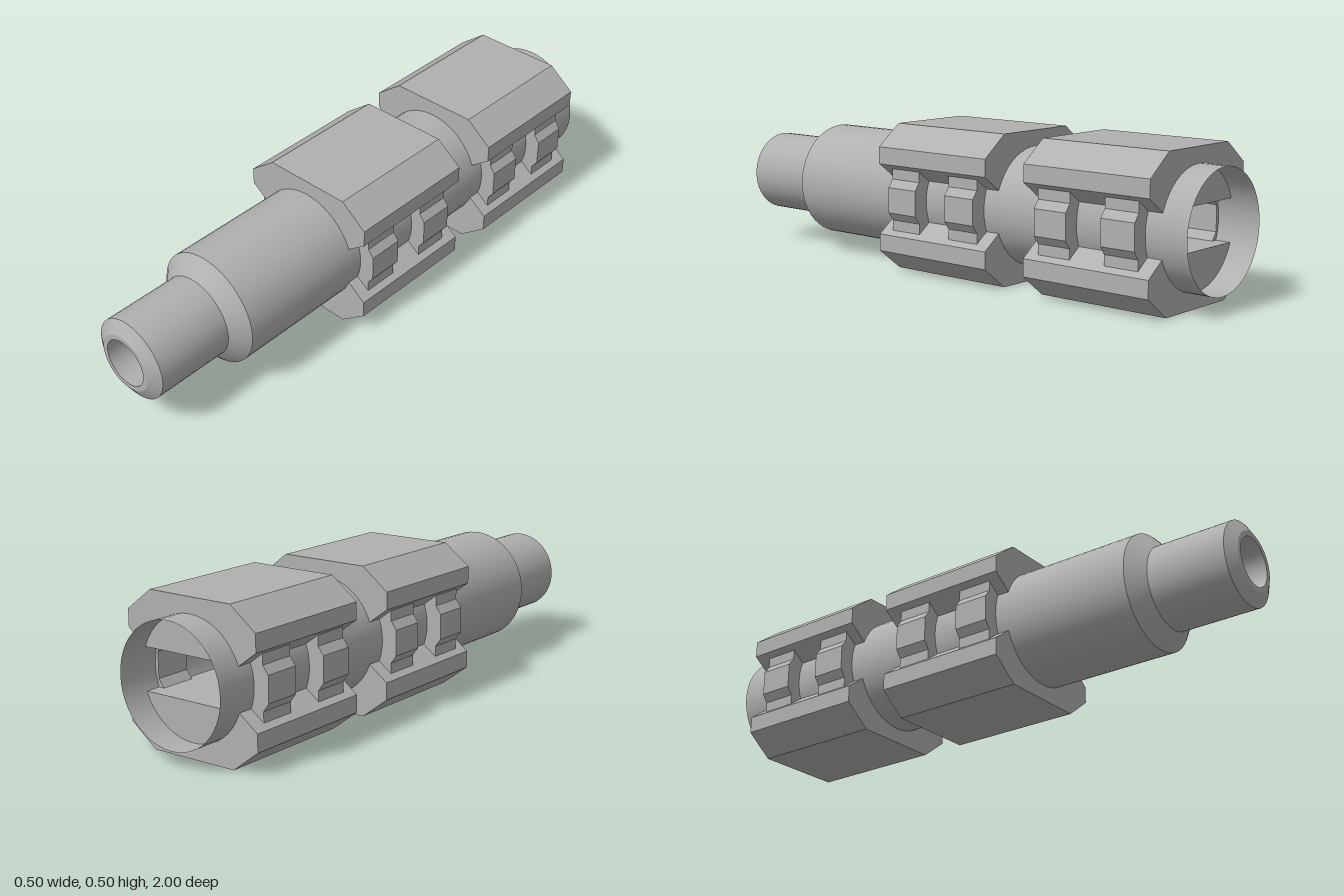
import * as THREE from 'three';
import { toCreasedNormals } from 'three/addons/utils/BufferGeometryUtils.js';

const CY = 0.252; // height of the long axis

export function createModel() {
  const group = new THREE.Group();
  const grey = new THREE.MeshStandardMaterial({ color: 0xb0b0b0, side: THREE.DoubleSide });
  grey.name = 'grey';

  const add = (name, geometry, z = 0) => {
    const mesh = new THREE.Mesh(geometry, grey);
    mesh.name = name;
    mesh.position.set(0, CY, z);
    group.add(mesh);
  };

  // Prism along z from a cross-section given relative to the axis
  const prism = (points, depth) => new THREE.ExtrudeGeometry(
    new THREE.Shape(points.map(([x, y]) => new THREE.Vector2(x, y))),
    { depth, bevelEnabled: false });

  // Turned barrel: open thin tube at the back, stepped nozzle with a blind bore in front
  const profile = [
    [0.198, -1], [0.198, 0.655], [0.142, 0.705], [0.142, 0.975],
    [0.1, 1], [0.082, 1], [0.082, 0.7], [0, 0.7],
  ].map(([r, z]) => new THREE.Vector2(r, z));
  const barrel = new THREE.LatheGeometry(profile, 48);
  barrel.rotateX(Math.PI / 2);
  add('barrel', toCreasedNormals(barrel, 0.4));

  // Upper and lower jaws of the two clamps
  const jaw = [
    [-0.185, 0.07], [0.185, 0.07], [0.252, 0.12], [0.252, 0.178],
    [0.158, 0.25], [-0.158, 0.25], [-0.252, 0.178], [-0.252, 0.12],
  ];
  // Side clip with a raised middle and stepped ends
  const clip = [
    [0.165, -0.105], [0.232, -0.105], [0.232, -0.07], [0.252, -0.043],
    [0.252, 0.043], [0.232, 0.07], [0.232, 0.105], [0.165, 0.105],
    [0.165, 0.07], [0.185, 0.043], [0.185, -0.043], [0.165, -0.07],
  ];

  for (const z of [-0.905, -0.272]) {
    add('upperJaw', prism(jaw, 0.475), z);
    add('lowerJaw', prism(jaw.map(([x, y]) => [-x, -y]), 0.475), z);
    for (const offset of [0.052, 0.308]) {
      add('leftClip', prism(clip, 0.124), z + offset);
      add('rightClip', prism(clip.map(([x, y]) => [-x, -y]), 0.124), z + offset);
    }
  }
  return group;
}
